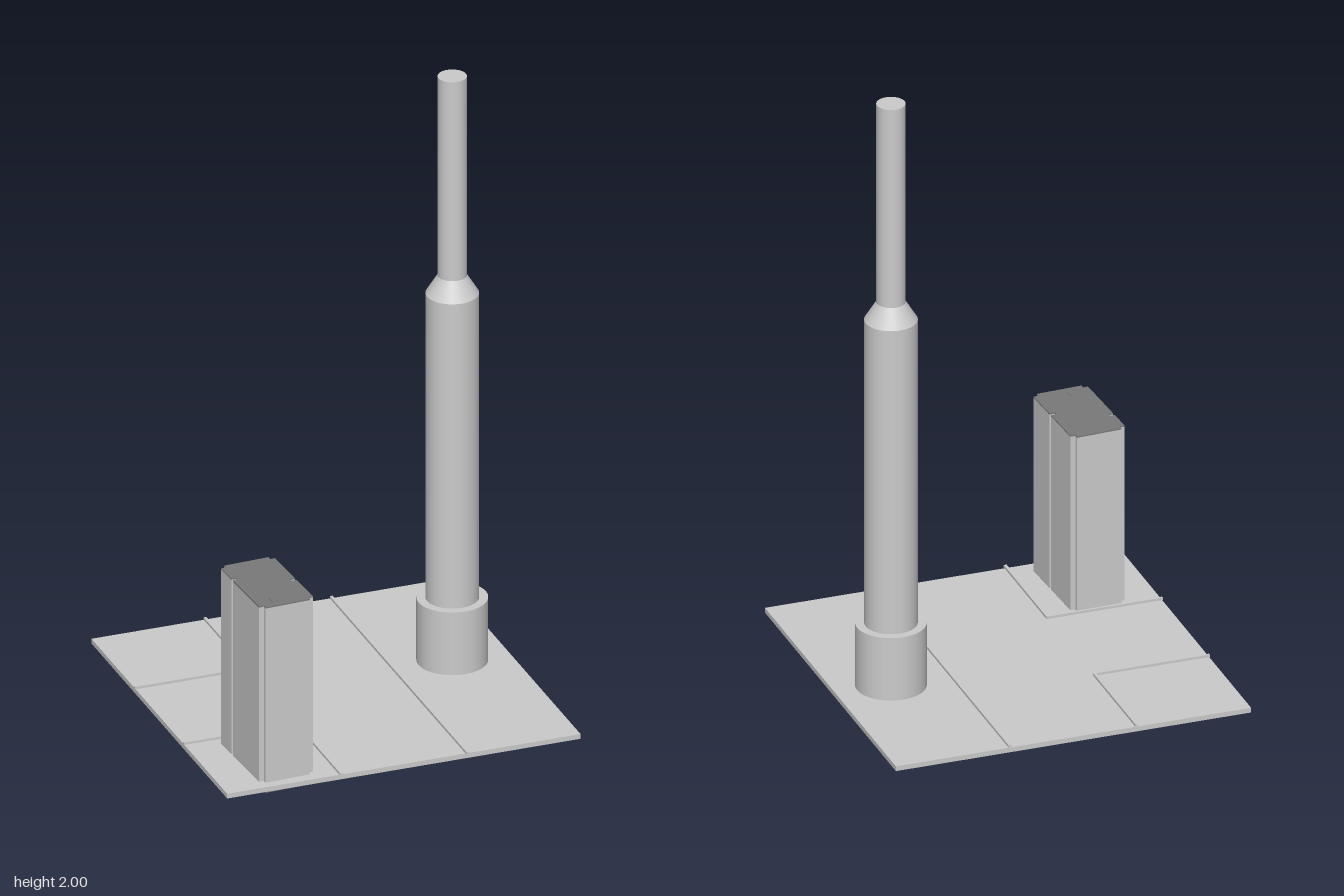
import * as THREE from 'three';

const grey = new THREE.MeshStandardMaterial({ color: 0xcccccc });
const dark = new THREE.MeshStandardMaterial({ color: 0x797979 });

function add(parent, name, geometry, material, x = 0, y = 0, z = 0) {
  const mesh = new THREE.Mesh(geometry, material);
  mesh.name = name;
  mesh.position.set(x, y, z);
  parent.add(mesh);
  return mesh;
}

// Box given by its two opposite corners
function boxBetween(parent, name, [x0, y0, z0], [x1, y1, z1], material = grey) {
  return add(parent, name, new THREE.BoxGeometry(x1 - x0, y1 - y0, z1 - z0), material,
    (x0 + x1) / 2, (y0 + y1) / 2, (z0 + z1) / 2);
}

// Floor plan of the block: stepped corners and one slot in each long side (x, z)
function blockPlan() {
  const w = 0.089, d = 0.157, cx = 0.073, cz = 0.143;
  const plan = [
    [-cx, -d], [cx, -d], [cx, -cz], [w, -cz],
    [w, 0.007], [w - 0.018, 0.007], [w - 0.018, 0.02], [w, 0.02],
    [w, cz], [cx, cz], [cx, d], [-cx, d], [-cx, cz], [-w, cz],
    [-w, -0.053], [-w + 0.016, -0.053], [-w + 0.016, -0.066], [-w, -0.066],
    [-w, -cz], [-cx, -cz],
  ];
  return new THREE.Shape(plan.map(([x, z]) => new THREE.Vector2(x, -z)));
}

// Upright prism of a plan between two heights
function prism(plan, y0, y1) {
  const g = new THREE.ExtrudeGeometry(plan, { depth: y1 - y0, bevelEnabled: false });
  return g.rotateX(-Math.PI / 2).translate(0, y0, 0);
}

export function createModel() {
  const model = new THREE.Group();
  model.name = 'siteModel';

  // Ground plate
  const top = 0.034;
  boxBetween(model, 'groundPlate', [-0.573, 0.018, -0.577], [0.573, top, 0.567]);

  // Raised strips: one full-length line and two corner plots
  const strip = 0.042;
  boxBetween(model, 'longStrip', [0.2, top, -0.577], [0.209, strip, 0.574]);
  boxBetween(model, 'frontPlotSideStrip', [-0.209, top, 0.2], [-0.2, strip, 0.574]);
  boxBetween(model, 'frontPlotBackStrip', [-0.575, top, 0.2], [-0.209, strip, 0.207]);
  boxBetween(model, 'backPlotSideStrip', [-0.209, top, -0.577], [-0.2, strip, -0.204]);
  boxBetween(model, 'backPlotFrontStrip', [-0.575, top, -0.211], [-0.209, strip, -0.204]);

  // Chimney tower: drum, shaft, taper, upper pipe
  const tower = new THREE.Group();
  tower.name = 'tower';
  tower.position.set(0.395, 0, -0.052);
  model.add(tower);
  const sections = [
    ['towerDrum', 0.109, 0.109, top, 0.245],
    ['towerShaft', 0.0815, 0.0815, 0.245, 1.27],
    ['towerTaper', 0.0815, 0.0446, 1.27, 1.33],
    ['towerPipe', 0.0446, 0.0446, 1.33, 2],
  ];
  for (const [name, r0, r1, y0, y1] of sections) {
    add(tower, name, new THREE.CylinderGeometry(r1, r0, y1 - y0, 64), grey, 0, (y0 + y1) / 2, 0);
  }

  // Tall block, turned slightly, its foot passing through the plate
  const block = new THREE.Group();
  block.name = 'block';
  block.position.set(-0.371, 0, 0.378);
  block.rotation.y = 0.045;
  model.add(block);
  const plan = blockPlan();
  add(block, 'blockWalls', prism(plan, 0.003, 0.621), grey);
  add(block, 'blockRoof', prism(plan, 0.621, 0.625), dark);
  add(block, 'blockUnderside', prism(plan, 0, 0.003), dark);
  boxBetween(block, 'roofHatch', [-0.04, 0.62, 0.104], [-0.016, 0.626, 0.128], dark);

  return model;
}
